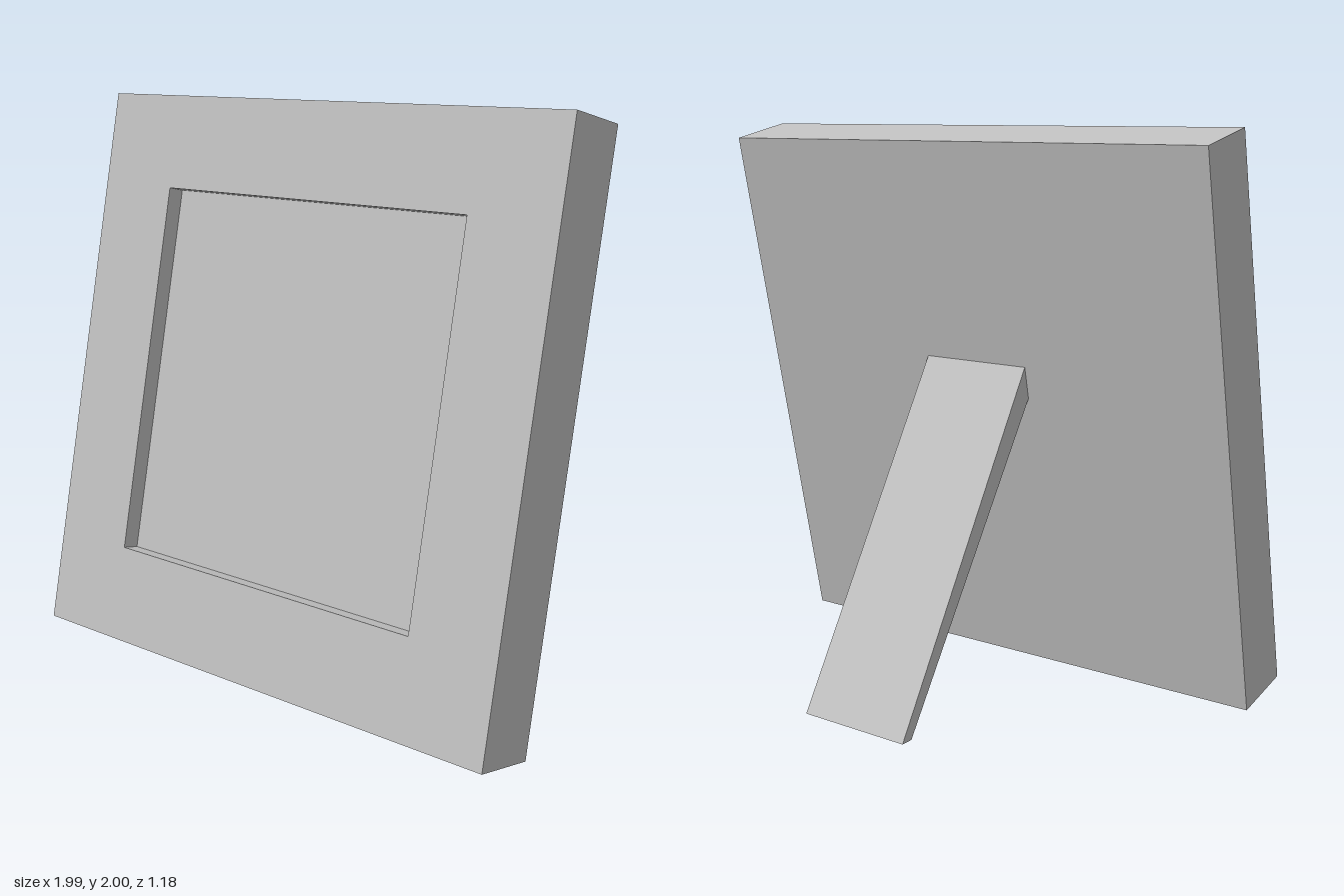
import * as THREE from 'three';

export function createModel() {
  const model = new THREE.Group();
  const grey = new THREE.MeshStandardMaterial({ color: 0xc0c0c0 });
  grey.name = 'light grey';

  const add = (parent, name, geometry) => {
    const mesh = new THREE.Mesh(geometry, grey);
    mesh.name = name;
    parent.add(mesh);
    return mesh;
  };
  const polygon = (points) => new THREE.Shape(points.map(([x, y]) => new THREE.Vector2(x, y)));
  const rect = (w, y0, y1) => [[-w, y0], [w, y0], [w, y1], [-w, y1]];

  // Leaning frame: local origin at the lower front edge, front face at local z = 0
  const halfWidth = 0.993, height = 1.993, thickness = 0.245, recess = 0.063;
  const frame = new THREE.Group();
  frame.name = 'frame';
  frame.position.set(0, 0.052, 0.592);
  frame.rotation.x = -0.212;
  model.add(frame);

  // Border with the picture opening
  const border = polygon(rect(halfWidth, 0, height));
  border.holes.push(polygon(rect(0.656, 0.338, 1.66)));
  add(frame, 'frameBorder', new THREE.ExtrudeGeometry(border, { depth: recess, bevelEnabled: false }))
    .position.z = -recess;

  // Solid backing, whose front is the recessed picture panel
  const backDepth = thickness - recess;
  add(frame, 'backPanel', new THREE.BoxGeometry(halfWidth * 2, height, backDepth))
    .position.set(0, height / 2, -recess - backDepth / 2);

  // Slanted support leg: side profile as (-z, y), extruded across x
  const legWidth = 0.43;
  const profile = polygon([[-0.128, 1.055], [0.545, 0], [0.592, 0], [-0.104, 1.172]]);
  const leg = add(model, 'supportLeg',
    new THREE.ExtrudeGeometry(profile, { depth: legWidth, bevelEnabled: false }));
  leg.rotation.y = Math.PI / 2;
  leg.position.x = -legWidth / 2;

  return model;
}
